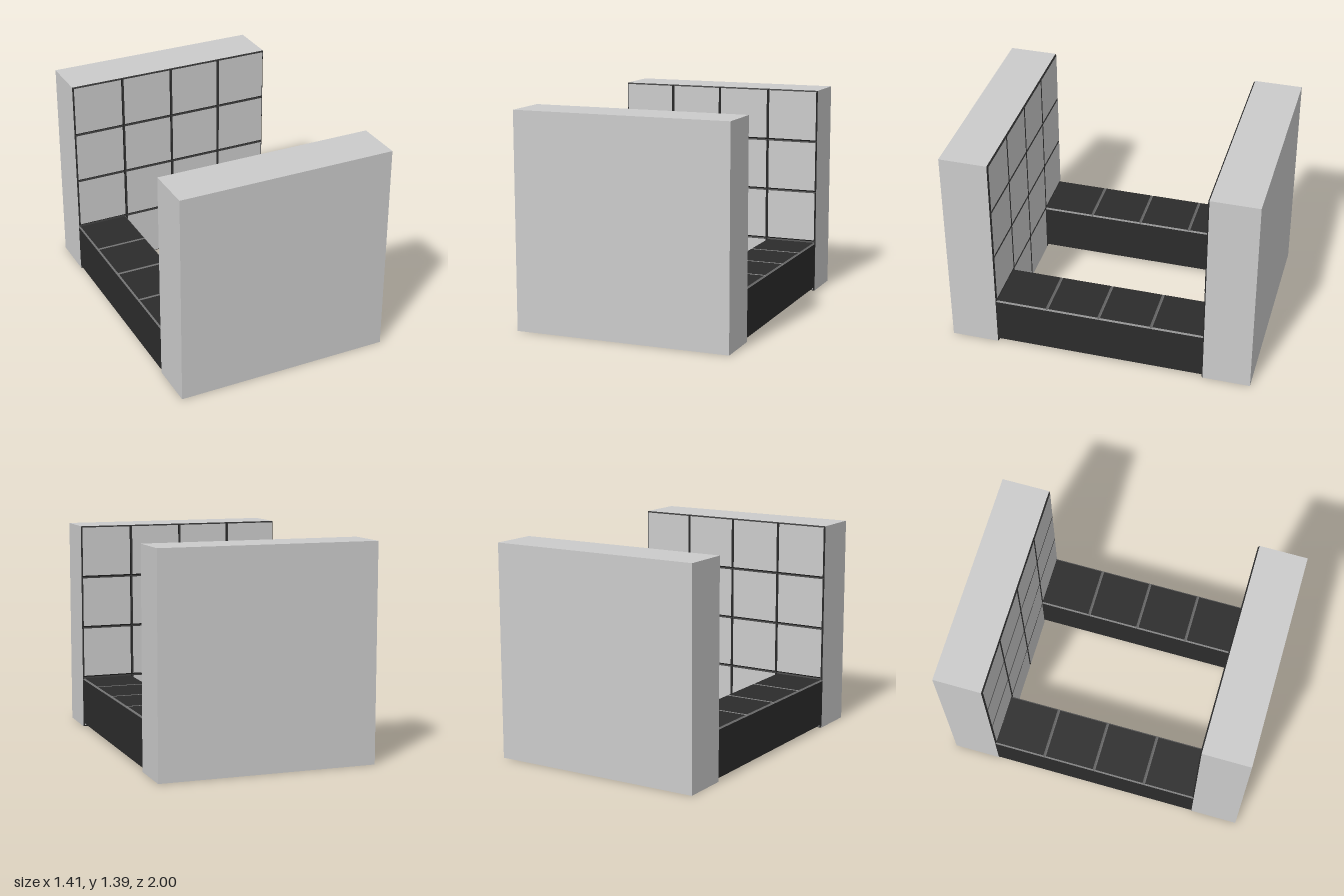
import * as THREE from 'three';

const W = 1.41, H = 1.39, INNER = 0.69, DEPTH = 0.31; // end wall sizes
const BEVEL = 0.009, RISE = 0.009;

const grey = new THREE.MeshStandardMaterial({ color: 0xcccccc });
const dark = new THREE.MeshStandardMaterial({ color: 0x2c2c2c });
const darkFlat = new THREE.MeshStandardMaterial({ color: 0x2c2c2c, flatShading: true });
const midFlat = new THREE.MeshStandardMaterial({ color: 0x707070, flatShading: true });

// Chamfered tile lying on the xz plane, its face pointing up
function tile(w, d, faceMaterial, bevelMaterial) {
  const g = new THREE.Group();
  g.name = 'tile';
  const r = Math.SQRT1_2, inset = 1 - (2 * BEVEL) / Math.max(w, d);
  const rim = new THREE.CylinderGeometry(r * inset, r, RISE, 4, 1, true);
  rim.rotateY(Math.PI / 4).scale(w, 1, d).translate(0, RISE / 2, 0);
  const bevel = new THREE.Mesh(rim, bevelMaterial);
  bevel.name = 'tileBevel';
  const top = new THREE.PlaneGeometry(w * inset, d * inset);
  top.rotateX(-Math.PI / 2).translate(0, RISE, 0);
  const face = new THREE.Mesh(top, faceMaterial);
  face.name = 'tileFace';
  g.add(bevel, face);
  return g;
}

// Grid of tiles centred on the origin, facing up
function tileGrid(w, d, nx, nz, faceMaterial, bevelMaterial) {
  const g = new THREE.Group();
  const tw = w / nx, td = d / nz;
  for (let i = 0; i < nx; i++) {
    for (let j = 0; j < nz; j++) {
      const t = tile(tw, td, faceMaterial, bevelMaterial);
      t.position.set((i + 0.5) * tw - w / 2, 0, (j + 0.5) * td - d / 2);
      g.add(t);
    }
  }
  return g;
}

// End wall with a tiled inner side
function endWall(name, side) {
  const g = new THREE.Group();
  g.name = name;
  const slab = new THREE.Mesh(new THREE.BoxGeometry(W, H, DEPTH), grey);
  slab.name = 'wallSlab';
  slab.position.set(0, H / 2, side * (INNER + DEPTH / 2));
  const tiles = tileGrid(W, H, 4, 4, grey, darkFlat);
  tiles.name = 'wallTiles';
  tiles.rotation.x = -side * Math.PI / 2;
  tiles.position.set(0, H / 2, side * INNER);
  g.add(slab, tiles);
  return g;
}

// Low side beam joining the walls, with a row of tiles on top
function sideBeam(name, x) {
  const g = new THREE.Group();
  g.name = name;
  const bottom = 0.025, top = 0.33, w = 0.35, len = INNER * 2;
  const body = new THREE.Mesh(new THREE.BoxGeometry(w, top - bottom, len), dark);
  body.name = 'beamBody';
  body.position.y = (top + bottom) / 2;
  const tiles = tileGrid(w, len, 1, 4, dark, midFlat);
  tiles.name = 'beamTiles';
  tiles.position.y = top;
  g.add(body, tiles);
  g.position.x = x;
  return g;
}

export function createModel() {
  const model = new THREE.Group();
  model.name = 'tiledFrame';
  model.add(
    endWall('frontWall', 1),
    endWall('backWall', -1),
    sideBeam('leftBeam', 0.528),
    sideBeam('rightBeam', -0.532),
  );
  return model;
}
